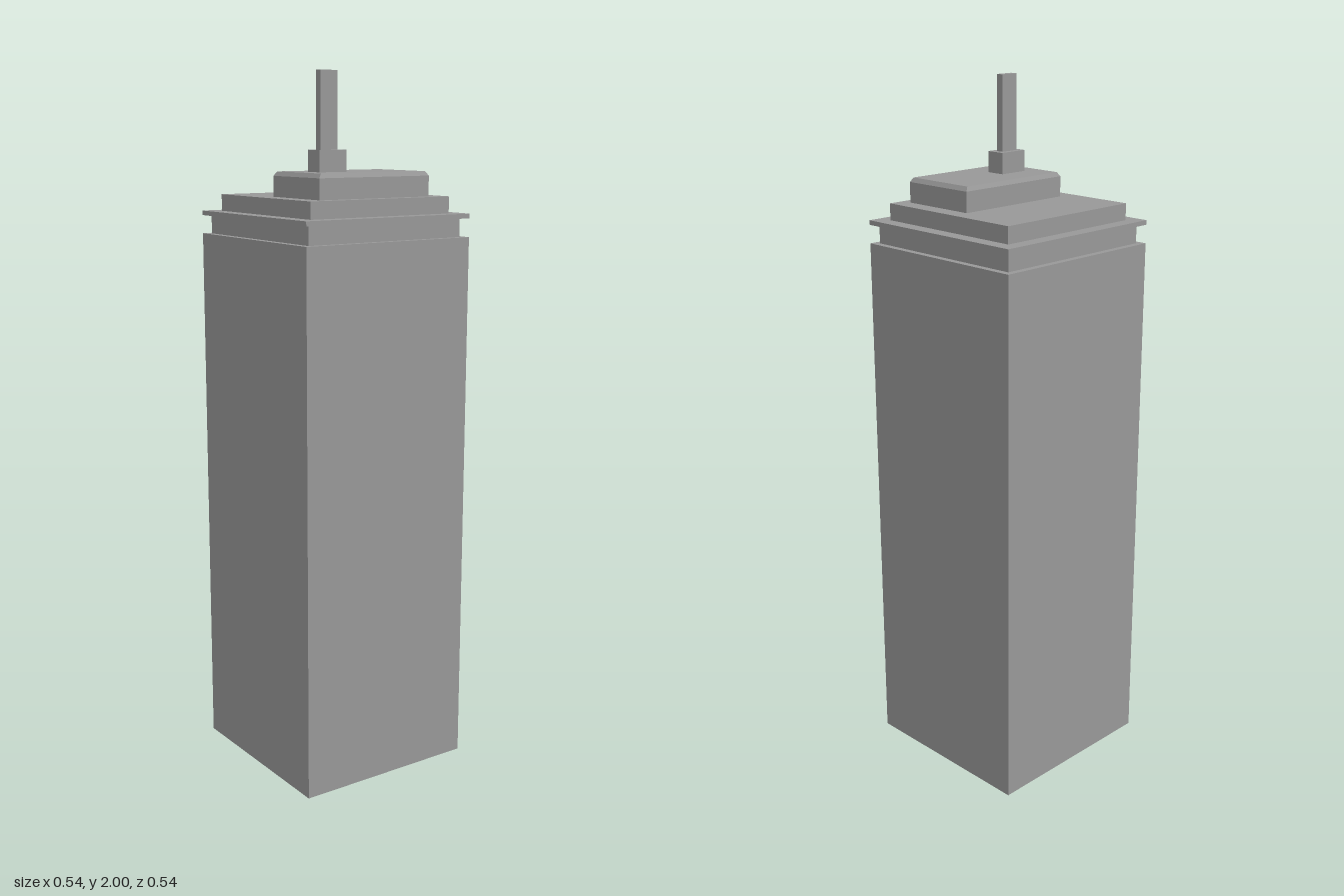
import * as THREE from 'three';

const material = new THREE.MeshStandardMaterial({ color: 0x989898, flatShading: true });

// Box given by its limits; insetX and insetZ draw the top face inwards.
function block(name, [x0, x1], [y0, y1], [z0, z1], insetX = 0, insetZ = 0) {
  const w = x1 - x0, h = y1 - y0, d = z1 - z0;
  const geometry = new THREE.BoxGeometry(w, h, d);
  const p = geometry.attributes.position;
  for (let i = 0; i < p.count; i++) {
    if (p.getY(i) > 0) {
      p.setX(i, p.getX(i) * (1 - 2 * insetX / w));
      p.setZ(i, p.getZ(i) * (1 - 2 * insetZ / d));
    }
  }
  geometry.computeVertexNormals();
  const mesh = new THREE.Mesh(geometry, material);
  mesh.name = name;
  mesh.position.set((x0 + x1) / 2, (y0 + y1) / 2, (z0 + z1) / 2);
  return mesh;
}

export function createModel() {
  const tower = new THREE.Group();
  tower.name = 'tower';

  // Square storeys, stacked: name, half width, bottom, top
  const storeys = [
    ['shaft', 0.272, 0, 1.55],
    ['recessedFloor', 0.253, 1.55, 1.602],
    ['cornice', 0.272, 1.602, 1.615],
    ['setbackFloor', 0.231, 1.615, 1.662],
  ];
  for (const [name, r, y0, y1] of storeys) {
    tower.add(block(name, [-r, r], [y0, y1], [-r, r]));
  }

  // Roof house with a chamfered top, set towards the front
  const roofX = [-0.183, 0.183], roofZ = [-0.027, 0.2];
  tower.add(block('roofHouse', roofX, [1.662, 1.719], roofZ));
  tower.add(block('roofHouseChamfer', roofX, [1.719, 1.731], roofZ, 0.009, 0.006));

  // Mast on its plinth
  tower.add(block('mastPlinth', [-0.125, -0.037], [1.731, 1.79], [0.059, 0.115]));
  tower.add(block('mast', [-0.109, -0.054], [1.79, 2], [0.075, 0.097]));

  return tower;
}
